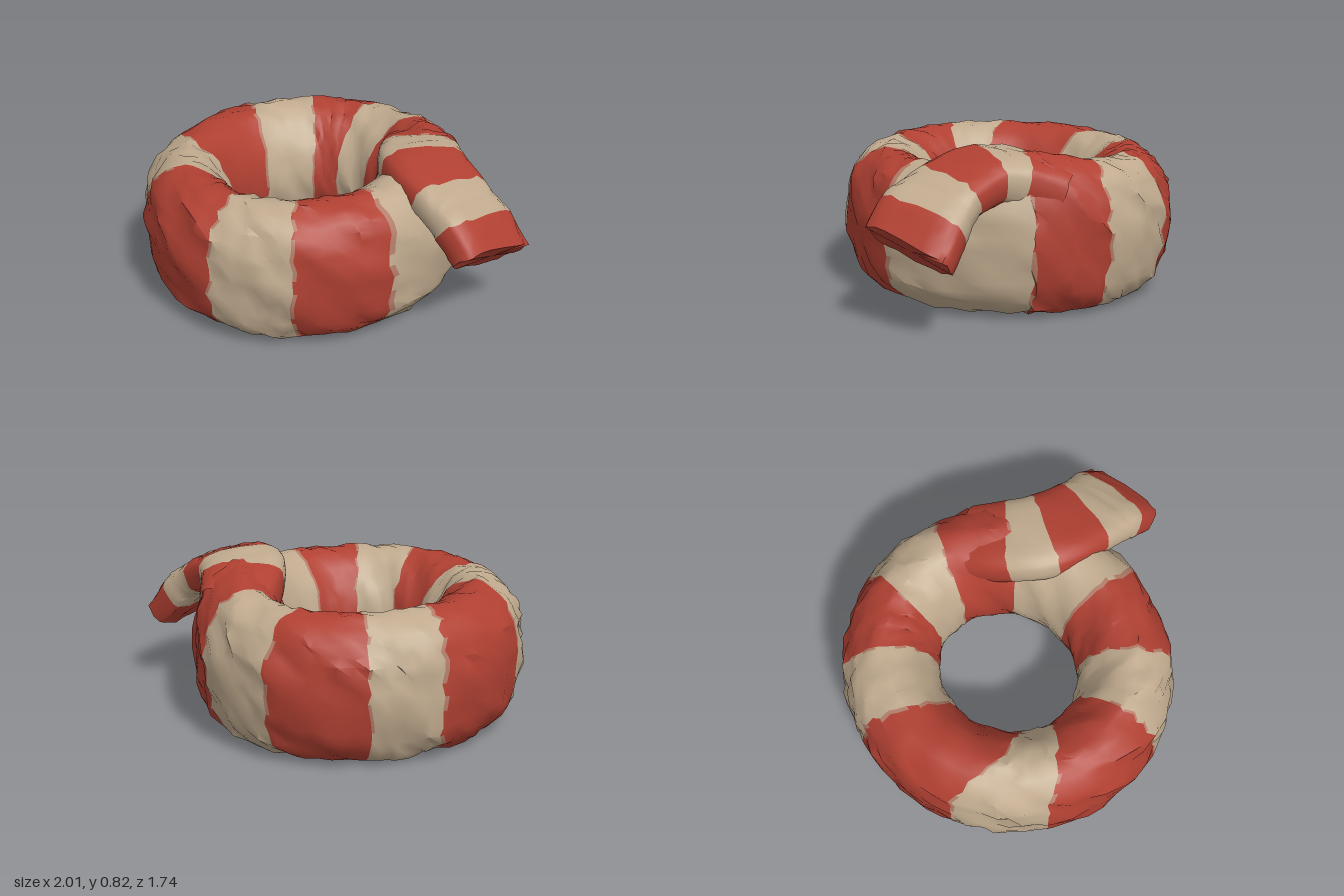
import * as THREE from 'three';
import { toCreasedNormals } from 'three/addons/utils/BufferGeometryUtils.js';

const mat = (name, color) => Object.assign(new THREE.MeshStandardMaterial({ color }), { name });
const red = mat('red wool', 0xb04032);
const cream = mat('cream wool', 0xc0aa8e);
const lining = mat('dusty pink lining', 0xb27c68);
const materials = [red, cream, lining];

// Repeatable noise in -1..1
const noise = (i, j) => {
  const s = Math.sin(i * 127.1 + j * 311.7) * 43758.5453;
  return (s - Math.floor(s)) * 2 - 1;
};

// Surface from a grid of points; colourOf(i, j) picks the material of each quad
function gridGeometry(points, rows, cols, wrapRows, colourOf, capColour) {
  const faces = [[], [], []];
  const at = (i, j) => (i % rows) * cols + (j % cols);
  for (let i = 0; i < (wrapRows ? rows : rows - 1); i++) {
    for (let j = 0; j < cols; j++) {
      const a = at(i, j), b = at(i + 1, j), c = at(i + 1, j + 1), d = at(i, j + 1);
      faces[colourOf(i, j)].push(a, b, d, b, c, d);
    }
  }
  if (!wrapRows) {
    // Close the far end with a fan
    const centre = new THREE.Vector3();
    for (let j = 0; j < cols; j++) centre.addScaledVector(points[at(rows - 1, j)], 1 / cols);
    points.push(centre);
    for (let j = 0; j < cols; j++) {
      faces[capColour].push(at(rows - 1, j), points.length - 1, at(rows - 1, j + 1));
    }
  }
  const geometry = new THREE.BufferGeometry().setFromPoints(points);
  geometry.setIndex(faces.flat());
  let start = 0;
  faces.forEach((f, m) => {
    if (f.length) geometry.addGroup(start, f.length, m);
    start += f.length;
  });
  return toCreasedNormals(geometry, 0.9);
}

// Thick wrapped loop: closed rounded cross-section swept round
function loopGeometry() {
  const section = [
    [0.66, 0.012], [0.57, 0.02], [0.49, 0.065], [0.43, 0.135], [0.39, 0.23], [0.372, 0.35],
    [0.395, 0.48], [0.45, 0.59], [0.525, 0.675], [0.62, 0.715], [0.70, 0.70], [0.775, 0.65],
    [0.825, 0.57], [0.85, 0.47], [0.857, 0.35], [0.84, 0.2], [0.805, 0.1], [0.74, 0.03],
  ].map(([r, y]) => new THREE.Vector3(r, y, 0));
  const curve = new THREE.CatmullRomCurve3(section, true);
  const cols = section.length * 2;
  // Stripe edges in degrees, at the inner and the outer side
  const edges = [
    [-28, -36], [18, 19], [50, 53], [82, 83], [111, 130], [134, 164],
    [192, 205], [234, 230], [255, 265], [288, 297], [332, 324],
  ];
  const per = 8, rows = 10 * per, points = [];
  for (let i = 0; i < rows; i++) {
    const s = Math.floor(i / per);
    // The last column of each stripe is a narrow blended fringe
    const t = (i % per) / (per - 1) * 0.96;
    for (let j = 0; j < cols; j++) {
      const p = curve.getPoint(j / cols);
      const f = THREE.MathUtils.clamp((p.x - 0.37) / 0.45, 0, 1);
      const edge = (k) => THREE.MathUtils.lerp(edges[k][0], edges[k][1], f);
      // Ragged edges: the fringe columns share one offset so they do not cross
      const wobble = i % per === 0 || i % per === per - 1 ? noise(Math.round(i / per), j) : noise(i, j);
      const deg = THREE.MathUtils.lerp(edge(s), edge(s + 1), t) + wobble * 1.1;
      const a = THREE.MathUtils.degToRad(deg);
      // The wrap climbs where its end crosses over the beginning
      const rel = ((deg + 35 + 540) % 360) - 180;
      const rise = 1 + 0.17 * p.y * Math.exp(-((rel / 32) ** 2));
      const bump = i % per === per - 1 ? i + 1 : i;
      const r = p.x + noise(bump + 7, j) * (0.005 + 0.009 * f) + 0.006 * Math.sin(a * 11 + j);
      const y = Math.max(0, p.y * rise + noise(bump, j + 50) * 0.01);
      const xScale = THREE.MathUtils.lerp(0.89, 0.955, f);
      points.push(new THREE.Vector3(-0.18 + Math.cos(a) * r * xScale, y, Math.sin(a) * r));
    }
  }
  // First and last section column of the lining under each stripe
  const liningFrom = [0, 3, -2, -2, -2, -2, -1, 2, 0, 0];
  return gridGeometry(points, rows, cols, true, (i, j) => {
    const s = Math.floor(i / per);
    const k = j >= cols - 2 ? j - cols : j;
    if (k >= liningFrom[s] && k < 6) return 2;
    if (i % per === per - 1 && noise(i, j + 90) > 0) return 2;
    return s % 2 ? 0 : 1;
  });
}

// Loose end: flattened tube that leaves the loop and hangs outward
function tailGeometry() {
  // Centre x, y, z, then half width and half thickness
  const stations = [
    [0.20, 0.61, -0.50, 0.19, 0.13], [0.30, 0.675, -0.34, 0.21, 0.12],
    [0.42, 0.705, -0.21, 0.225, 0.11], [0.63, 0.655, -0.13, 0.22, 0.095],
    [0.72, 0.61, -0.11, 0.225, 0.095], [0.805, 0.555, -0.1, 0.24, 0.105],
    [0.92, 0.435, -0.09, 0.245, 0.095],
  ];
  const path = new THREE.CatmullRomCurve3(stations.map((s) => new THREE.Vector3(s[0], s[1], s[2])));
  const size = new THREE.CatmullRomCurve3(stations.map((s) => new THREE.Vector3(s[3], s[4], 0)));
  const steps = 24, cols = 24, points = [];
  const round = (v) => Math.sign(v) * Math.abs(v) ** 0.6;
  for (let i = 0; i <= steps; i++) {
    const t = i / steps;
    const c = path.getPoint(t), k = size.getPoint(t), T = path.getTangent(t);
    const side = new THREE.Vector3(-T.z, 0, T.x).normalize();
    side.y = 0.24 * t;
    side.normalize();
    const up = new THREE.Vector3().crossVectors(side, T).normalize();
    for (let j = 0; j < cols; j++) {
      const a = (j / cols) * Math.PI * 2;
      const w = round(Math.cos(a)) * k.x;
      // Shallow knitted ribs run along the end
      const rib = 1 + 0.07 * Math.cos(w * 80) * t + noise(i, j) * 0.06;
      const p = c.clone().addScaledVector(side, w).addScaledVector(up, round(Math.sin(a)) * k.y * rib);
      points.push(p.addScaledVector(T, noise(i + 30, j) * 0.008));
    }
  }
  return gridGeometry(points, steps + 1, cols, false,
    (i) => (i < 4 || (i >= 8 && i < 12) || i >= 20 ? 0 : 1), 0);
}

export function createModel() {
  const group = new THREE.Group();
  group.name = 'stripedScarf';
  const add = (name, geometry) => {
    const mesh = new THREE.Mesh(geometry, materials);
    mesh.name = name;
    group.add(mesh);
  };
  add('wrappedLoop', loopGeometry());
  add('looseEnd', tailGeometry());
  return group;
}
